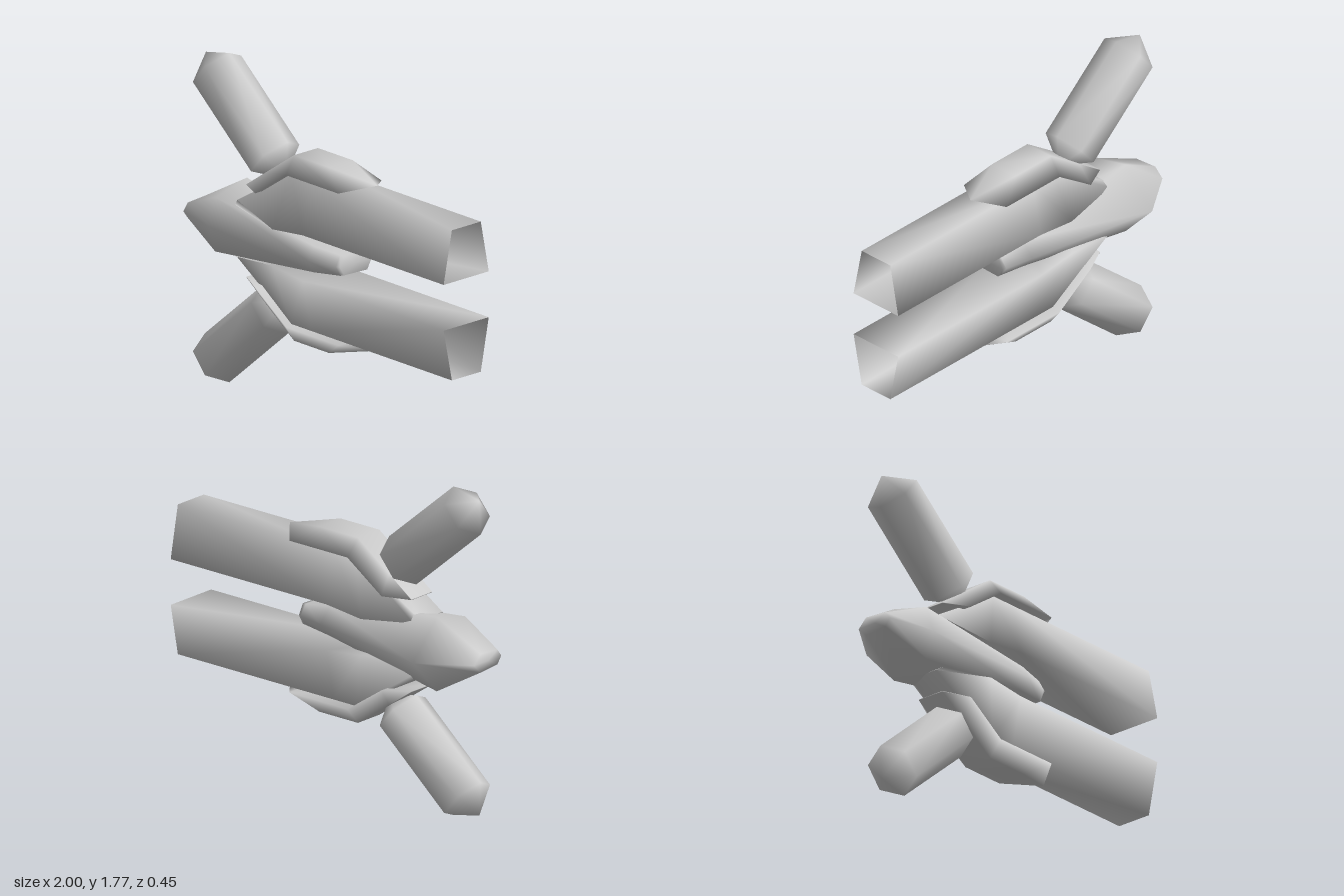
import * as THREE from 'three';

const MID_Y = 0.887;

// Skin closed cross-sections (ordered top, +z, bottom, -z) running along +x, with smooth normals.
function loft(rings, capStart, capEnd) {
  const n = rings[0].length, pos = rings.flat(2), idx = [];
  for (let i = 0; i < rings.length - 1; i++) {
    for (let j = 0; j < n; j++) {
      const a = i * n + j, d = i * n + (j + 1) % n, b = a + n, c = d + n;
      idx.push(a, d, c, a, c, b);
    }
  }
  const cap = (ring, apex, flip) => {
    const k = pos.length / 3;
    pos.push(...apex);
    for (let j = 0; j < n; j++) {
      const a = ring * n + j, b = ring * n + (j + 1) % n;
      idx.push(...(flip ? [k, b, a] : [k, a, b]));
    }
  };
  if (capStart) cap(0, capStart, true);
  if (capEnd) cap(rings.length - 1, capEnd, false);
  const g = new THREE.BufferGeometry();
  g.setAttribute('position', new THREE.Float32BufferAttribute(pos, 3));
  g.setIndex(idx);
  g.computeVertexNormals();
  return g;
}

// Four-cornered section: narrow top edge, wide bottom edge.
const trapezoid = ([tx, ty, tz0, tz1], [bx, by, bz0, bz1]) =>
  [[tx, ty, tz0], [tx, ty, tz1], [bx, by, bz1], [bx, by, bz0]];

export function createModel() {
  const model = new THREE.Group();
  const grey = new THREE.MeshStandardMaterial({ color: 0xcccccc, side: THREE.DoubleSide });
  grey.name = 'lightGrey';
  const add = (parent, name, geometry) => {
    const mesh = new THREE.Mesh(geometry, grey);
    mesh.name = name;
    parent.add(mesh);
    return mesh;
  };

  // Central body: x, top height, shoulder height, back z, top z, shoulder z, front z
  const body = [
    [-1.0, 0.05, 0.04, -0.05, 0.0, 0.13, 0.16],
    [-0.74, 0.2, 0.145, -0.225, -0.04, 0.18, 0.225],
    [0.0, 0.078, 0.07, -0.09, -0.02, 0.18, 0.222],
    [0.16, 0.057, 0.055, -0.06, -0.02, 0.15, 0.18],
    [0.18, 0.055, 0.05, -0.05, -0.02, 0.14, 0.17],
  ].map(([x, h, s, zb, zt, zs, zf]) => [
    [x, MID_Y + h, zt], [x, MID_Y + s, zs], [x, MID_Y, zf],
    [x, MID_Y - s, zs], [x, MID_Y - h, zt], [x, MID_Y, zb],
  ]);
  add(model, 'body', loft(body, [-1, MID_Y, 0.06], [0.18, MID_Y, 0.06]));

  // Upper half, mirrored to make the lower half
  for (const side of ['upper', 'lower']) {
    const half = new THREE.Group();
    half.name = side + 'Half';
    if (side === 'lower') {
      half.scale.y = -1;
      half.position.y = 2 * MID_Y;
    }

    // Hollow barrel, bent inward at its root and open at the far end
    add(half, side + 'Barrel', loft([
      trapezoid([-0.62, 1.04, -0.03, 0.14], [-0.6, 1.025, -0.06, 0.17]),
      trapezoid([-0.2, 1.29, -0.045, 0.155], [-0.28, 0.985, -0.1, 0.212]),
      trapezoid([-0.05, 1.29, -0.045, 0.155], [-0.05, 1.01, -0.1, 0.212]),
      trapezoid([1, 1.29, -0.045, 0.155], [1, 1.01, -0.1, 0.212]),
    ], [-0.61, 1.03, 0.055]));

    // Armour shell over the bend, tapering to a point
    add(half, side + 'Armour', loft([
      trapezoid([-0.56, 1.137, -0.03, 0.13], [-0.56, 1.133, -0.03, 0.13]),
      trapezoid([-0.41, 1.24, -0.03, 0.135], [-0.42, 1.14, -0.1, 0.2]),
      trapezoid([-0.2, 1.385, -0.03, 0.135], [-0.19, 1.295, -0.1, 0.2]),
      trapezoid([0.06, 1.385, -0.03, 0.135], [0.2, 1.295, -0.1, 0.2]),
    ], [-0.56, 1.135, 0.05], [0.32, 1.33, 0.04]));

    // Slanted fin: hexagonal prism with pointed ends
    const hexagon = x => [[0.142, 0], [0.07, 0.125], [-0.07, 0.125], [-0.142, 0], [-0.07, -0.125], [0.07, -0.125]]
      .map(([y, z]) => [x, y, z]);
    const fin = add(half, side + 'Fin',
      loft([hexagon(-0.285), hexagon(0.285)], [-0.394, 0, 0], [0.394, 0, 0]));
    fin.position.set(-0.644, 1.478, 0.055);
    fin.rotation.z = -0.705;

    model.add(half);
  }
  return model;
}
